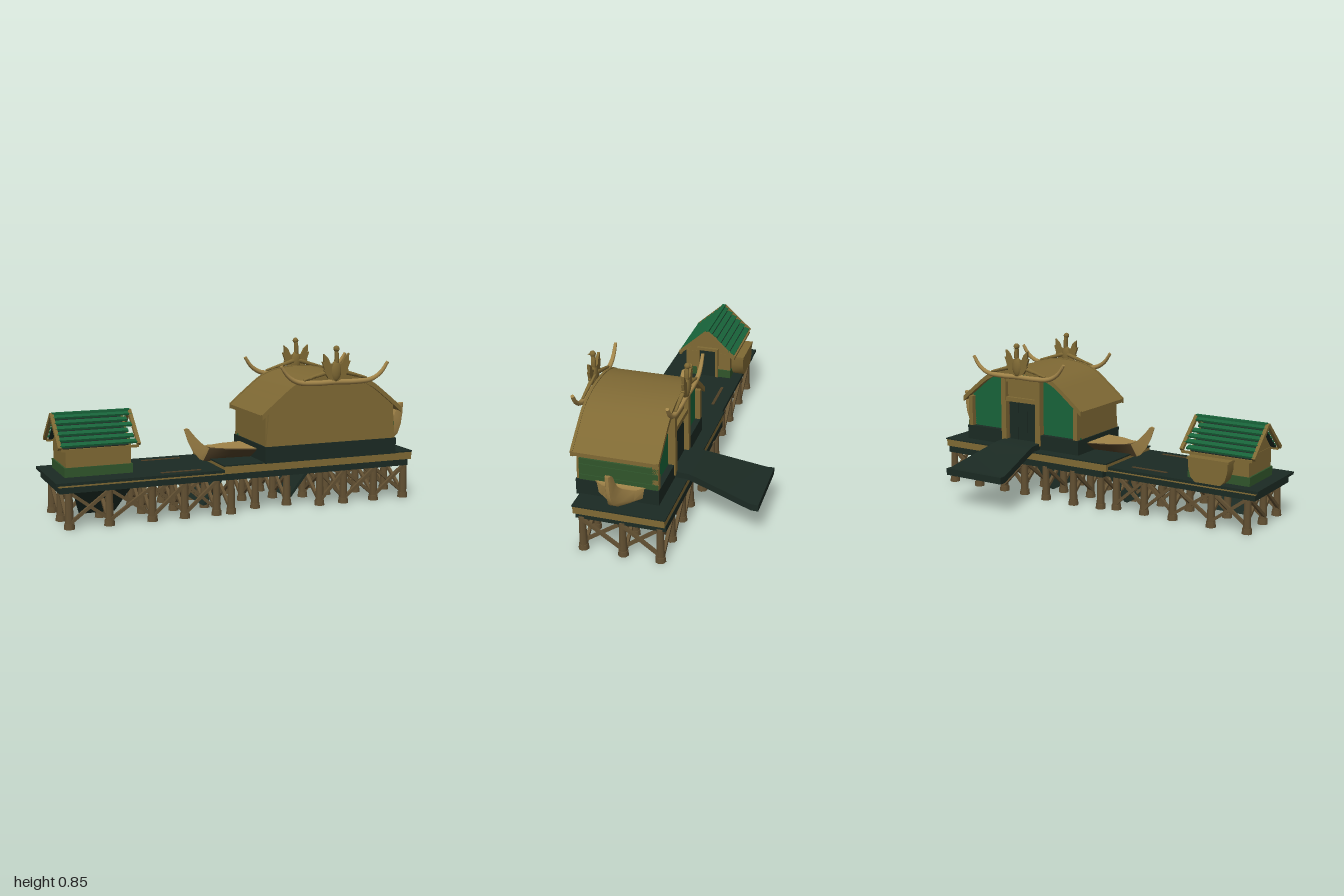
import * as THREE from 'three';
import { toCreasedNormals } from 'three/addons/utils/BufferGeometryUtils.js';

const material = (name, color, side = THREE.FrontSide) => {
  const m = new THREE.MeshStandardMaterial({ color, side });
  m.name = name;
  return m;
};

export function createModel() {
  const tan = material('tan', 0x7f6934, THREE.DoubleSide);
  const gold = material('gold', 0xa08348, THREE.DoubleSide);
  const wood = material('weathered wood', 0x625032);
  const dark = material('dark green', 0x1b2a23, THREE.DoubleSide);
  const green = material('roof green', 0x18643a, THREE.DoubleSide);
  const moss = material('moss green', 0x30552b);
  const brown = material('brown', 0x4f3f26, THREE.DoubleSide);

  const model = new THREE.Group();
  model.name = 'stiltHall';
  const V = (x, y, z) => new THREE.Vector3(x, y, z);
  const group = (name, parent = model) => {
    const g = new THREE.Group();
    g.name = name;
    parent.add(g);
    return g;
  };
  const add = (parent, name, geo, mat) => {
    const m = new THREE.Mesh(geo, mat);
    m.name = name;
    parent.add(m);
    return m;
  };
  // Box given by its limits
  const box = (p, name, mat, x0, x1, y0, y1, z0, z1) => {
    const m = add(p, name, new THREE.BoxGeometry(x1 - x0, y1 - y0, z1 - z0), mat);
    m.position.set((x0 + x1) / 2, (y0 + y1) / 2, (z0 + z1) / 2);
  };
  // Square beam between two points
  const beam = (p, name, mat, a, b, w = 0.016) => {
    const m = add(p, name, new THREE.BoxGeometry(w, w, a.distanceTo(b)), mat);
    m.position.copy(a).lerp(b, 0.5);
    m.lookAt(b);
  };
  // Outline extruded along z
  const plate = (p, name, mat, pts, z, depth) => {
    const s = new THREE.Shape(pts.map(q => new THREE.Vector2(q[0], q[1])));
    const geo = new THREE.ExtrudeGeometry(s, { depth, bevelEnabled: false });
    geo.translate(0, 0, z);
    return add(p, name, toCreasedNormals(geo, 0.6), mat);
  };
  // Skin joining rings of points, with both ends capped
  const loft = (p, name, mat, rings, crease) => {
    const n = rings[0].length, idx = [];
    for (let i = 0; i < rings.length - 1; i++)
      for (let j = 0; j < n; j++) {
        const a = i * n + j, b = i * n + (j + 1) % n;
        idx.push(a, b, a + n, b, b + n, a + n);
      }
    const last = (rings.length - 1) * n;
    for (let j = 1; j < n - 1; j++) idx.push(0, j + 1, j, last, last + j, last + j + 1);
    const geo = new THREE.BufferGeometry().setFromPoints(rings.flat());
    geo.setIndex(idx);
    add(p, name, toCreasedNormals(geo, crease), mat);
  };
  // Round horn tapering from the middle of its path to both ends
  const horn = (p, name, mat, pts, r, tip) => {
    const c = new THREE.CatmullRomCurve3(pts), rings = [];
    for (let i = 0; i <= 32; i++) {
      const t = i / 32, q = c.getPoint(t), d = c.getTangent(t);
      const side = V(-d.y, d.x, 0).normalize();
      const k = tip + (r - tip) * Math.min(1, 3 * Math.min(t, 1 - t));
      rings.push(Array.from({ length: 8 }, (_, j) => {
        const a = j * Math.PI / 4;
        return q.clone().addScaledVector(side, Math.cos(a) * k).add(V(0, 0, Math.sin(a) * k));
      }));
    }
    loft(p, name, mat, rings, 1.2);
  };

  // Platforms
  const decks = group('platforms');
  box(decks, 'hutDeck', dark, -1, -0.14, 0.222, 0.236, -0.062, 0.388);
  box(decks, 'hutDeckTrim', tan, -0.985, -0.14, 0.212, 0.222, -0.055, 0.38);
  box(decks, 'hutDeckBase', dark, -0.98, -0.12, 0.18, 0.212, -0.045, 0.37);
  box(decks, 'hallDeck', dark, -0.145, 0.94, 0.253, 0.26, -0.085, 0.385);
  box(decks, 'hallDeckTrim', tan, -0.142, 0.937, 0.214, 0.253, -0.08, 0.382);
  box(decks, 'hallDeckBase', dark, -0.12, 0.92, 0.18, 0.214, -0.082, 0.375);
  for (const z of [0.01, 0.335]) box(decks, 'deckPlank', brown, -0.46, -0.25, 0.236, 0.239, z - 0.008, z + 0.008);

  // Stilts with feet and cross braces
  const stilts = group('stilts');
  const stiltField = (xs, zs, crossed) => {
    for (const x of xs) for (const z of zs) {
      add(stilts, 'post', new THREE.CylinderGeometry(0.018, 0.022, 0.17, 8), wood).position.set(x, 0.105, z);
      add(stilts, 'foot', new THREE.CylinderGeometry(0.025, 0.028, 0.028, 8), wood).position.set(x, 0.014, z);
    }
    xs.forEach((x, i) => {
      for (const z of zs) if (crossed && i < xs.length - 1) {
        beam(stilts, 'crossBrace', wood, V(x, 0.03, z + 0.012), V(xs[i + 1], 0.18, z + 0.012));
        beam(stilts, 'crossBrace', wood, V(x, 0.18, z - 0.012), V(xs[i + 1], 0.03, z - 0.012));
      }
      for (let k = 0; k < zs.length - 1; k++) {
        beam(stilts, 'sideBrace', wood, V(x + 0.01, 0.18, zs[k]), V(x + 0.01, 0.04, zs[k + 1]));
        beam(stilts, 'sideBrace', wood, V(x - 0.01, 0.04, zs[k]), V(x - 0.01, 0.18, zs[k + 1]));
      }
    });
  };
  stiltField([-0.93, -0.73, -0.51, -0.34, -0.17], [0.345, 0.17, -0.02], true);
  stiltField([-0.09], [0.345, 0.13, -0.05], false);
  stiltField([0.07, 0.25], [0.28, 0.1, -0.072], false);
  stiltField([0.41, 0.55, 0.73, 0.91], [0.345, 0.14, -0.05], true);
  // Sloping boards under the decks
  for (const [x0, x1] of [[-0.1, -0.21], [0.39, 0.27]])
    plate(stilts, 'slopingBoard', dark, [[x0, 0.18], [x1, 0.03], [x1 + 0.02, 0.03], [x0 + 0.02, 0.18]], 0.03, 0.22);
  loft(stilts, 'underHutBoard', dark, [[-0.9, -0.6, 0.18, 0.31], [-0.84, -0.66, 0.03, 0.19]].map(([x0, x1, y, z]) =>
    [V(x0, y, z), V(x1, y, z), V(x1, y, z - 0.02), V(x0, y, z - 0.02)]).reverse(), 0.4);

  // Hall roof: rounded gable running along z
  const hall = group('hall');
  const half = [[0.05, 0.503], [0.14, 0.578], [0.24, 0.652], [0.34, 0.684], [0.45, 0.693]];
  const mirrored = pts => [...pts, ...pts.slice(0, -1).reverse().map(([x, y]) => [0.9 - x, y])];
  const curve = new THREE.CatmullRomCurve3(mirrored(half).map(([x, y]) => V(x, y, 0)));
  const profile = curve.getPoints(32).map(q => [q.x, q.y]);
  const lowered = d => profile.map(([x, y]) => [x, y - d]);
  plate(hall, 'hallRoof', tan, [...profile, ...lowered(0.02).reverse()], -0.02, 0.425);
  for (const z of [0.4, -0.03])
    plate(hall, 'bargeboard', tan, [...profile.map(([x, y]) => [x, y + 0.004]), ...lowered(0.024).reverse()], z, 0.014);

  // Hall walls and base
  const gable = [[0.076, 0.3], ...lowered(0.015).filter(([x]) => x > 0.076 && x < 0.824), [0.824, 0.3]];
  plate(hall, 'frontWall', tan, gable, 0.382, 0.016);
  plate(hall, 'backWall', green, gable, 0.01, 0.015);
  box(hall, 'rightWall', tan, 0.08, 0.1, 0.3, 0.52, 0.01, 0.385);
  box(hall, 'leftWall', tan, 0.79, 0.81, 0.3, 0.52, 0.01, 0.385);
  for (let i = 0; i < 4; i++)
    box(hall, 'leftWallBoard', moss, 0.8, i % 2 ? 0.82 : 0.824, 0.339 + i * 0.029, 0.3675 + i * 0.029, -0.016, 0.385);
  for (const x of [0.093, 0.807])
    box(hall, 'cornerPost', tan, x - 0.013, x + 0.013, 0.3, 0.51, -0.018, 0.013);
  box(hall, 'hallBase', dark, 0.073, 0.828, 0.255, 0.34, 0.025, 0.402);
  box(hall, 'backBase', dark, 0.073, 0.33, 0.255, 0.34, -0.02, 0.025);
  box(hall, 'backBase', dark, 0.57, 0.828, 0.255, 0.34, -0.02, 0.025);

  // Doorway
  const door = group('doorway', hall);
  for (const x of [0.39, 0.45, 0.51]) box(door, 'doorLeaf', dark, x - 0.029, x + 0.029, 0.29, 0.515, -0.005, 0.01);
  box(door, 'doorBacking', brown, 0.34, 0.56, 0.29, 0.52, 0.002, 0.01);
  box(door, 'overdoorPanel', tan, 0.34, 0.56, 0.53, 0.63, -0.004, 0.01);
  for (const x of [0.335, 0.565]) box(door, 'doorPost', tan, x - 0.016, x + 0.016, 0.28, 0.66, -0.028, 0.012);
  for (const y of [0.522, 0.633]) box(door, 'lintel', tan, 0.32, 0.58, y - 0.012, y + 0.012, -0.024, 0.012);

  // Ramp widening away from the door
  const rampRings = [[0.02, 0.295, 0.12], [-0.09, 0.291, 0.122], [-0.13, 0.283, 0.128], [-0.42, 0.21, 0.178], [-0.46, 0.21, 0.18]]
    .map(([z, y, w]) => [V(0.445 - w, y, z), V(0.445 + w, y, z), V(0.445 + w, y - 0.036, z), V(0.445 - w, y - 0.036, z)]);
  loft(model, 'ramp', dark, rampRings, 0.5);

  // Upturned horns and bird finials on both gables
  const finial = (z, out) => {
    const g = group('gableFinial', hall);
    g.position.z = z;
    const arm = [[0.147, 0.75], [0.185, 0.698], [0.24, 0.665], [0.34, 0.656], [0.45, 0.658]];
    horn(g, 'roofHorns', gold, mirrored(arm).map(([x, y]) => V(x, y, 0)), 0.014, 0.009);
    horn(g, 'ridgeArch', tan, [V(0.27, 0.672, 0), V(0.37, 0.7, 0), V(0.45, 0.72, 0), V(0.53, 0.7, 0), V(0.63, 0.672, 0)], 0.012, 0.007);
    const bird = group('birdFinial', g);
    bird.position.set(0.45, 0, 0.005 * out);
    const body = add(bird, 'birdBody', new THREE.SphereGeometry(1, 12, 8), tan);
    body.scale.set(0.03, 0.055, 0.018);
    body.position.y = 0.715;
    horn(bird, 'birdNeck', tan, [V(0, 0.74, 0), V(0.004, 0.78, 0), V(0, 0.825, 0)], 0.013, 0.01);
    add(bird, 'birdHead', new THREE.SphereGeometry(0.016, 10, 8), tan).position.set(0, 0.829, 0.003 * out);
    const beak = add(bird, 'birdBeak', new THREE.ConeGeometry(0.008, 0.026, 6), tan);
    beak.position.set(0, 0.824, 0.02 * out);
    beak.rotation.x = out * 1.8;
    const wing = [[0, 0.66], [0.045, 0.68], [0.07, 0.72], [0.065, 0.724], [0.08, 0.765], [0.07, 0.764], [0.072, 0.805], [0.048, 0.785], [0.034, 0.755], [0, 0.75]];
    for (const s of [1, -1]) plate(bird, 'birdWing', tan, wing.map(([x, y]) => [x * s, y]), -0.007, 0.014);
  };
  finial(0.425, 1);
  finial(-0.045, -1);

  // Boat-shaped prows: stations of keel x, y, rim x, y and half width, from high x to low x
  const vSide = [[1, 1], [0.55, 0.45], [0.15, 0]], uSide = [[1, 1], [0.92, 0.3], [0.5, 0]];
  const prow = (name, mat, cz, side, stations) => {
    const section = [...side.map(([k, t]) => [-k, t]), ...[...side].reverse()];
    loft(model, name, mat, stations.map(([xb, yb, xt, yt, w]) =>
      section.map(([k, t]) => V(xb + (xt - xb) * t, yb + (yt - yb) * t, cz + k * w))), 0.8);
  };
  const hull = [[0.08, 0.25, 0.08, 0.31, 0.115], [-0.05, 0.25, -0.05, 0.313, 0.085], [-0.13, 0.245, -0.12, 0.315, 0.05], [-0.18, 0.249, -0.158, 0.319, 0.034]];
  prow('rightHull', brown, 0.18, vSide, hull);
  prow('rightHullDeck', gold, 0.18, vSide, hull.map(([, , x, y, w]) => [x, y, x, y + 0.005, w + 0.001]));
  prow('rightProw', gold, 0.18, vSide, [hull[3], [-0.2, 0.258, -0.17, 0.325, 0.028], [-0.235, 0.3, -0.2, 0.348, 0.021],
    [-0.265, 0.36, -0.238, 0.39, 0.016], [-0.285, 0.42, -0.263, 0.422, 0.013]]);
  prow('leftProw', gold, 0.175, uSide, [[0.998, 0.49, 0.975, 0.487, 0.014], [0.994, 0.43, 0.955, 0.465, 0.016], [0.985, 0.37, 0.94, 0.43, 0.018],
    [0.965, 0.32, 0.92, 0.395, 0.024], [0.92, 0.283, 0.89, 0.362, 0.04], [0.86, 0.262, 0.85, 0.34, 0.085], [0.82, 0.26, 0.82, 0.347, 0.133]]);

  // Hut walls
  const hut = group('hut');
  box(hut, 'hutBase', moss, -0.93, -0.585, 0.235, 0.283, -0.004, 0.27);
  box(hut, 'hutWalls', tan, -0.922, -0.592, 0.283, 0.385, 0, 0.265);
  for (const x of [-0.92, -0.604]) {
    const g = plate(hut, 'hutGable', tan, [[-0.132, 0.38], [0.132, 0.38], [0, 0.515]], 0, 0.01);
    g.rotation.y = Math.PI / 2;
    g.position.set(x, 0, 0.132);
  }
  box(hut, 'hutDoor', dark, -0.592, -0.584, 0.236, 0.4, 0.085, 0.18);
  for (const z of [0.078, 0.187]) box(hut, 'hutDoorPost', tan, -0.595, -0.576, 0.236, 0.41, z - 0.008, z + 0.008);
  box(hut, 'hutDoorLintel', tan, -0.595, -0.576, 0.4, 0.416, 0.07, 0.195);

  // Hut roof: tilted slats on both slopes with worn ends
  const worn = [0, 0.03, 0.012, 0.04, 0.02, 0.008];
  for (const s of [1, -1]) {
    const at = (x, t, lift = 0) => V(x, 0.528 - 0.143 * t + lift, 0.132 + s * 0.158 * t);
    for (let i = 0; i < 6; i++) {
      const t = (i + 0.5) / 6, end = -0.555 - worn[(i + (s > 0 ? 0 : 2)) % 6];
      const m = add(hut, 'roofSlat', new THREE.BoxGeometry(end + 0.955, 0.01, 0.03), green);
      m.position.copy(at((end - 0.955) / 2, t));
      m.rotation.x = s * 0.35;
    }
    const under = add(hut, 'roofLining', new THREE.BoxGeometry(0.33, 0.006, 0.2), dark);
    under.position.copy(at(-0.775, 0.5, -0.01));
    under.rotation.x = s * 0.736;
    for (const x of [-0.957, -0.56]) beam(hut, 'hutBargeboard', tan, at(x, 0), at(x, 1.02), 0.018);
    beam(hut, 'hutEave', tan, at(-0.95, 1, -0.012), at(-0.56, 1, -0.012), 0.012);
  }
  box(hut, 'hutRidge', green, -0.955, -0.56, 0.525, 0.537, 0.122, 0.142);

  // Rounded trough against the hut's back wall
  const trough = plate(hut, 'trough', tan, [[-0.11, 0.362], [-0.108, 0.31], [-0.095, 0.262], [-0.07, 0.237], [0.07, 0.237], [0.095, 0.262], [0.108, 0.31], [0.11, 0.362]], -0.072, 0.07);
  trough.position.x = -0.73;
  box(hut, 'troughRim', tan, -0.845, -0.615, 0.352, 0.364, -0.076, 0);

  return model;
}
